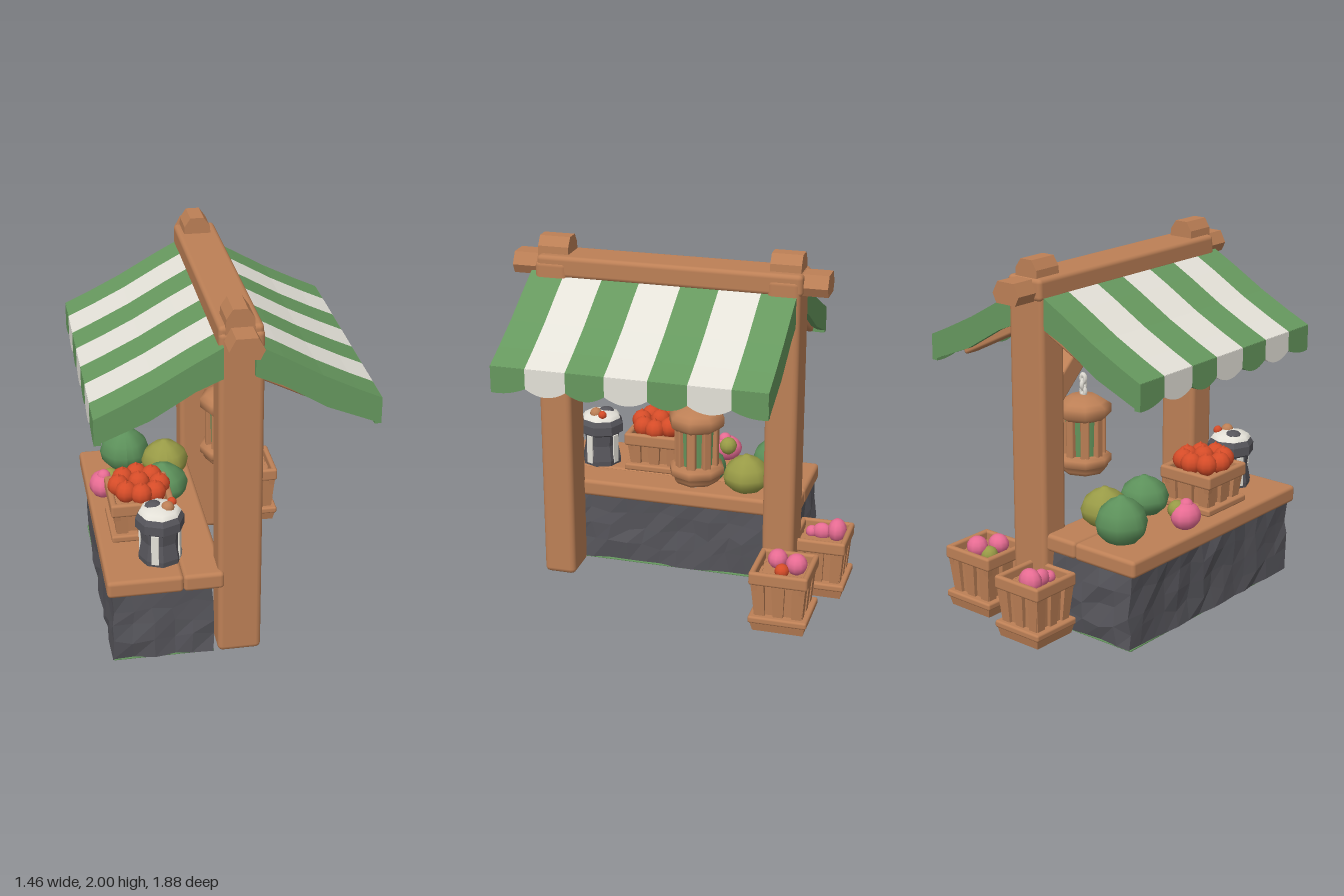
import * as THREE from 'three';
import { RoundedBoxGeometry } from 'three/addons/geometries/RoundedBoxGeometry.js';

const mat = (name, color) => {
  const m = new THREE.MeshStandardMaterial({ color });
  m.name = name;
  return m;
};

export function createModel() {
  const root = new THREE.Group();
  root.name = 'marketStall';
  const wood = mat('wood', 0xbd8056), green = mat('canopyGreen', 0x66985e), white = mat('clothWhite', 0xe4e1d8);
  const stone = mat('stone', 0x56555b), red = mat('tomatoRed', 0xd64c28), pink = mat('fruitPink', 0xec6e96);
  const olive = mat('melonOlive', 0x989a46), melonGreen = mat('melonGreen', 0x5c905a);
  stone.flatShading = true;

  let seed = 7;
  const rnd = () => (seed = (seed * 16807) % 2147483647) / 2147483647;
  const add = (parent, name, geo, m, x = 0, y = 0, z = 0) => {
    const mesh = new THREE.Mesh(geo, m);
    mesh.name = name;
    mesh.position.set(x, y, z);
    parent.add(mesh);
    return mesh;
  };
  const group = (name, x, y, z) => {
    const g = new THREE.Group();
    g.name = name;
    g.position.set(x, y, z);
    root.add(g);
    return g;
  };
  // Rounded box given by its minimum and maximum corners
  const block = (parent, name, m, x0, x1, y0, y1, z0, z1, r = 0.025) =>
    add(parent, name, new RoundedBoxGeometry(x1 - x0, y1 - y0, z1 - z0, 2, r), m, (x0 + x1) / 2, (y0 + y1) / 2, (z0 + z1) / 2);
  // Square timber running between two points
  const beam = (name, a, b, w, h) => {
    const A = new THREE.Vector3(...a), B = new THREE.Vector3(...b);
    const mesh = add(root, name, new RoundedBoxGeometry(w, h, A.distanceTo(B), 2, 0.015), wood);
    mesh.position.copy(A).lerp(B, 0.5);
    mesh.lookAt(B);
  };
  // Four-sided taper, sizes are half widths
  const taper = (top, bottom, h) => {
    const g = new THREE.CylinderGeometry(top * Math.SQRT2, bottom * Math.SQRT2, h, 4).rotateY(Math.PI / 4).toNonIndexed();
    g.computeVertexNormals();
    return g;
  };
  // Cross-section in x and y, mirrored by s and extruded along z
  const section = (pts, s, depth, z) =>
    new THREE.ExtrudeGeometry(new THREE.Shape(pts.map(([x, y]) => new THREE.Vector2(s * x, y))), { depth, bevelEnabled: false }).translate(0, 0, z);

  // Posts with chamfered caps, and braces meeting under the ridge
  const capPts = [[-0.07, 1.85], [0.085, 1.85], [0.08, 1.95], [0.045, 2], [-0.03, 2], [-0.063, 1.95]];
  for (const [z0, z1, s] of [[0.615, 0.8, -1], [-0.67, -0.49, 1]]) {
    block(root, 'post', wood, -0.1, 0.135, 0, 1.88, z0, z1, 0.03);
    add(root, 'postCap', section(capPts, 1, z1 - z0 - 0.012, z0 + 0.006), wood);
    const inner = s < 0 ? z0 : z1;
    beam('brace', [0.015, 1.2, inner - s * 0.05], [0.015, 1.76, inner + s * 0.55], 0.13, 0.12);
  }

  // Ridge beam with hexagonal ends
  block(root, 'ridgeBeam', wood, -0.1, 0.13, 1.79, 1.91, -0.68, 0.79);
  const hexPts = [[-0.05, 1.79], [0.08, 1.79], [0.105, 1.84], [0.07, 1.905], [-0.04, 1.905], [-0.075, 1.84]];
  add(root, 'ridgeBeamCore', section(hexPts, 1, 1.745, -0.81), wood);

  // Striped canopy: roof slabs, scalloped valances and end panels
  const edges = [0.83, 0.64, 0.42, 0.21, -0.02, -0.23, -0.46, -0.65];
  const top = [[0.08, 1.82], [0.22, 1.745], [0.42, 1.63], [0.6, 1.54], [0.73, 1.48]];
  const under = [[0.73, 1.43], [0.42, 1.57], [0.22, 1.68], [0.08, 1.76]];
  const endUnder = [[0.73, 1.335], [0.45, 1.45], [0.22, 1.59], [0.08, 1.65]];
  for (const s of [1, -1]) {
    for (let i = 0; i < 7; i++) {
      const z1 = edges[i], z0 = edges[i + 1], m = i % 2 ? white : green, end = i === 0 || i === 6;
      add(root, 'canopyStripe', section([...top, ...under], s, z1 - z0, z0), m);
      const flap = new THREE.Shape();
      flap.moveTo(z0, 1.478);
      flap.lineTo(z0, i === 6 ? 1.335 : 1.37);
      flap.quadraticCurveTo((z0 + z1) / 2, end ? 1.325 : 1.295, z1, i === 0 ? 1.335 : 1.37);
      flap.lineTo(z1, 1.478);
      const g = new THREE.ExtrudeGeometry(flap, { depth: 0.035, bevelEnabled: false, curveSegments: 8 });
      add(root, 'canopyValance', g.rotateY(-Math.PI / 2), m, s > 0 ? 0.732 : -0.697);
    }
    add(root, 'canopyEnd', section([...top, ...endUnder], s, 0.04, 0.791), green);
    add(root, 'canopyEnd', section([...top, ...endUnder], s, 0.04, -0.651), green);
    // Rafters and purlin beneath the cloth
    for (const z of [0.7, -0.57]) beam('rafter', [s * 0.05, 1.67, z], [s * 0.53, 1.43, z], 0.1, 0.08);
    beam('purlin', [s * 0.5, 1.48, -0.6], [s * 0.5, 1.48, 0.76], 0.07, 0.06);
  }

  // Rough stone counter
  const stoneGeo = new THREE.BoxGeometry(0.54, 0.42, 1.42, 5, 4, 14);
  const p = stoneGeo.attributes.position, moved = {};
  for (let i = 0; i < p.count; i++) {
    const key = [p.getX(i), p.getY(i), p.getZ(i)].map(v => v.toFixed(3)).join();
    const d = moved[key] ??= [rnd(), rnd(), rnd()];
    const edge = Math.abs(p.getY(i)) > 0.2 ? 0 : 0.05;
    p.setXYZ(i, p.getX(i) + (d[0] - 0.5) * 0.022, p.getY(i) + (d[1] - 0.5) * edge, p.getZ(i) + (d[2] - 0.5) * 0.03);
  }
  stoneGeo.computeVertexNormals();
  add(root, 'stoneCounter', stoneGeo, stone, -0.393, 0.215, 0.075);
  block(root, 'counterUnderside', green, -0.66, -0.12, 0, 0.008, -0.63, 0.78, 0.002);

  // Counter top of two long planks
  for (const [x0, x1] of [[-0.69, -0.285], [-0.287, -0.07]])
    block(root, 'counterPlank', wood, x0, x1, 0.42, 0.518, -0.645, 0.825, 0.022);

  // Slatted crates: w is the rim width, foot the height below the lower ledge
  const crate = (name, x, y, z, w, h, foot) => {
    const g = group(name, x, y, z), r = w / 2, inner = r * 0.8, rimH = 0.075;
    if (foot) add(g, 'foot', taper(r * 0.93, r * 0.86, foot), wood, 0, foot / 2, 0);
    block(g, 'ledge', wood, -r, r, foot, foot + 0.04, -r, r, 0.012);
    const bodyH = h - foot - 0.08;
    add(g, 'body', taper(r * 0.76, r * 0.7, bodyH), wood, 0, foot + 0.03 + bodyH / 2, 0);
    for (let side = 0; side < 4; side++) {
      const panel = new THREE.Group();
      panel.name = 'slats';
      panel.rotation.y = side * Math.PI / 2;
      g.add(panel);
      for (const u of [-0.72, 0, 0.72]) {
        const slat = add(panel, 'slat', taper(0.5, 0.36, 1), wood, u * r * 0.92, foot + 0.03 + bodyH / 2, r * 0.78);
        slat.scale.set(r * 0.46, bodyH, 0.035);
        slat.rotation.set(0.06, 0, -u * 0.1);
      }
      block(panel, 'rimSide', wood, -r, r, h - rimH, h, inner, r, 0.014);
    }
    return g;
  };
  const fruit = (parent, name, m, x, y, z, r, sx = 1, sy = 1, sz = 1) => {
    const f = add(parent, name, new THREE.SphereGeometry(r, 10, 8), m, x, y, z);
    f.scale.set(sx, sy, sz);
  };

  const crateA = crate('leftCrate', -0.135, 0, -0.785, 0.31, 0.35, 0.05);
  fruit(crateA, 'pinkFruit', pink, -0.035, 0.345, -0.075, 0.068, 1, 1, 0.8);
  fruit(crateA, 'pinkFruit', pink, -0.03, 0.33, 0.01, 0.05, 0.8, 1, 1.1);
  fruit(crateA, 'pinkFruit', pink, -0.035, 0.32, 0.07, 0.035);
  const crateB = crate('rightCrate', 0.335, 0, -0.665, 0.325, 0.355, 0.05);
  fruit(crateB, 'pinkFruit', pink, 0.005, 0.36, -0.07, 0.06);
  fruit(crateB, 'pinkFruit', pink, -0.045, 0.355, 0.045, 0.055, 1.1, 1, 1);
  fruit(crateB, 'redFruit', red, 0.055, 0.335, 0, 0.04);
  fruit(crateB, 'oliveFruit', olive, -0.06, 0.32, -0.045, 0.05);

  // Basket of tomatoes
  const basket = crate('tomatoBasket', -0.445, 0.52, 0.265, 0.345, 0.23, 0);
  for (let i = 0; i < 9; i++) {
    const a = i * Math.PI / 4, d = i < 8 ? 0.112 : 0;
    const x = Math.cos(a) * d, z = Math.sin(a) * d, y = (i < 8 ? 0.25 : 0.265) + rnd() * 0.012;
    fruit(basket, 'tomato', red, x, y, z, 0.06);
    add(basket, 'tomatoTip', new THREE.ConeGeometry(0.028, 0.03, 5), red, x, y + 0.058, z);
  }

  // Lobed melons with pointed tops
  const melon = (name, m, x, z, r, h) => {
    const prof = [[0, 0], [0.6, 0], [0.92, 0.2], [1, 0.42], [0.85, 0.68], [0.5, 0.87], [0.2, 0.95], [0.12, 1], [0, 1]];
    const g = new THREE.LatheGeometry(prof.map(([a, b]) => new THREE.Vector2(a * r, b * h)), 24);
    const q = g.attributes.position;
    for (let i = 0; i < q.count; i++) {
      const k = 1 + 0.03 * Math.cos(6 * Math.atan2(q.getZ(i), q.getX(i)));
      q.setXYZ(i, q.getX(i) * k, q.getY(i), q.getZ(i) * k);
    }
    g.computeVertexNormals();
    add(root, name, g, m, x, 0.515, z);
  };
  melon('greenMelon', melonGreen, -0.27, -0.04, 0.138, 0.21);
  melon('greenMelon', melonGreen, -0.44, -0.44, 0.14, 0.25);
  melon('oliveMelon', olive, -0.22, -0.315, 0.133, 0.21);
  fruit(root, 'pinkFruit', pink, -0.605, 0.59, -0.1, 0.08, 0.98, 0.95, 1.15);
  fruit(root, 'pinkFruit', pink, -0.6, 0.645, -0.09, 0.04);
  fruit(root, 'oliveFruit', olive, -0.56, 0.62, -0.12, 0.052);

  // Turned body from a profile, faceted around
  const turned = (pts) => new THREE.LatheGeometry(pts.map(([r, y]) => new THREE.Vector2(r, y)), 8);

  // Hanging lantern: wooden cap and base, bars, green panes, chain
  const lantern = group('lantern', 0.11, 0.68, -0.11);
  add(lantern, 'lanternBase', turned([[0, 0.01], [0.12, 0.01], [0.135, 0.03], [0.135, 0.05], [0.155, 0.06], [0.155, 0.1], [0.12, 0.115], [0, 0.115]]), wood);
  add(lantern, 'lanternPlate', new THREE.CylinderGeometry(0.11, 0.1, 0.014, 8), white, 0, 0.008, 0);
  add(lantern, 'lanternPanes', new THREE.CylinderGeometry(0.112, 0.104, 0.24, 8), green, 0, 0.22, 0);
  add(lantern, 'lanternCap', turned([[0, 0.32], [0.125, 0.32], [0.155, 0.345], [0.155, 0.395], [0.125, 0.415], [0.075, 0.445], [0, 0.452]]), wood);
  for (let i = 0; i < 8; i++) {
    const a = i * Math.PI / 4;
    const bar = add(lantern, 'lanternBar', new RoundedBoxGeometry(0.05, 0.24, 0.04, 1, 0.01), wood, Math.sin(a) * 0.104, 0.22, Math.cos(a) * 0.104);
    bar.rotation.y = a;
  }
  for (let i = 0; i < 3; i++) {
    const link = add(lantern, 'chainLink', new THREE.TorusGeometry(0.014, 0.013, 6, 10), white, 0, 0.468 + i * 0.038, 0);
    link.scale.y = 1.3;
    link.rotation.y = i * Math.PI / 2;
  }

  // Dark canister with pale panels and a heaped top
  const can = group('canister', -0.38, 0.52, 0.61);
  add(can, 'canisterBody', turned([[0, 0], [0.115, 0], [0.118, 0.03], [0.1, 0.12], [0.108, 0.185], [0.132, 0.2], [0.132, 0.25], [0.11, 0.285], [0, 0.29]]), stone);
  for (let i = 0; i < 4; i++) {
    const a = Math.PI / 8 + i * Math.PI / 2 + Math.PI / 4;
    const strip = add(can, 'palePanel', new THREE.BoxGeometry(0.04, 0.17, 0.009), white, Math.sin(a) * 0.107, 0.1, Math.cos(a) * 0.107);
    strip.rotation.y = a;
  }
  add(can, 'paleTop', turned([[0.116, 0.28], [0.1, 0.302], [0.05, 0.318], [0, 0.32]]), white);
  fruit(can, 'darkLump', stone, -0.03, 0.3, -0.02, 0.05, 1, 0.6, 1);
  fruit(can, 'brownLump', wood, 0.04, 0.31, 0.02, 0.036);
  fruit(can, 'redLump', red, 0.07, 0.315, -0.03, 0.025);

  return root;
}
